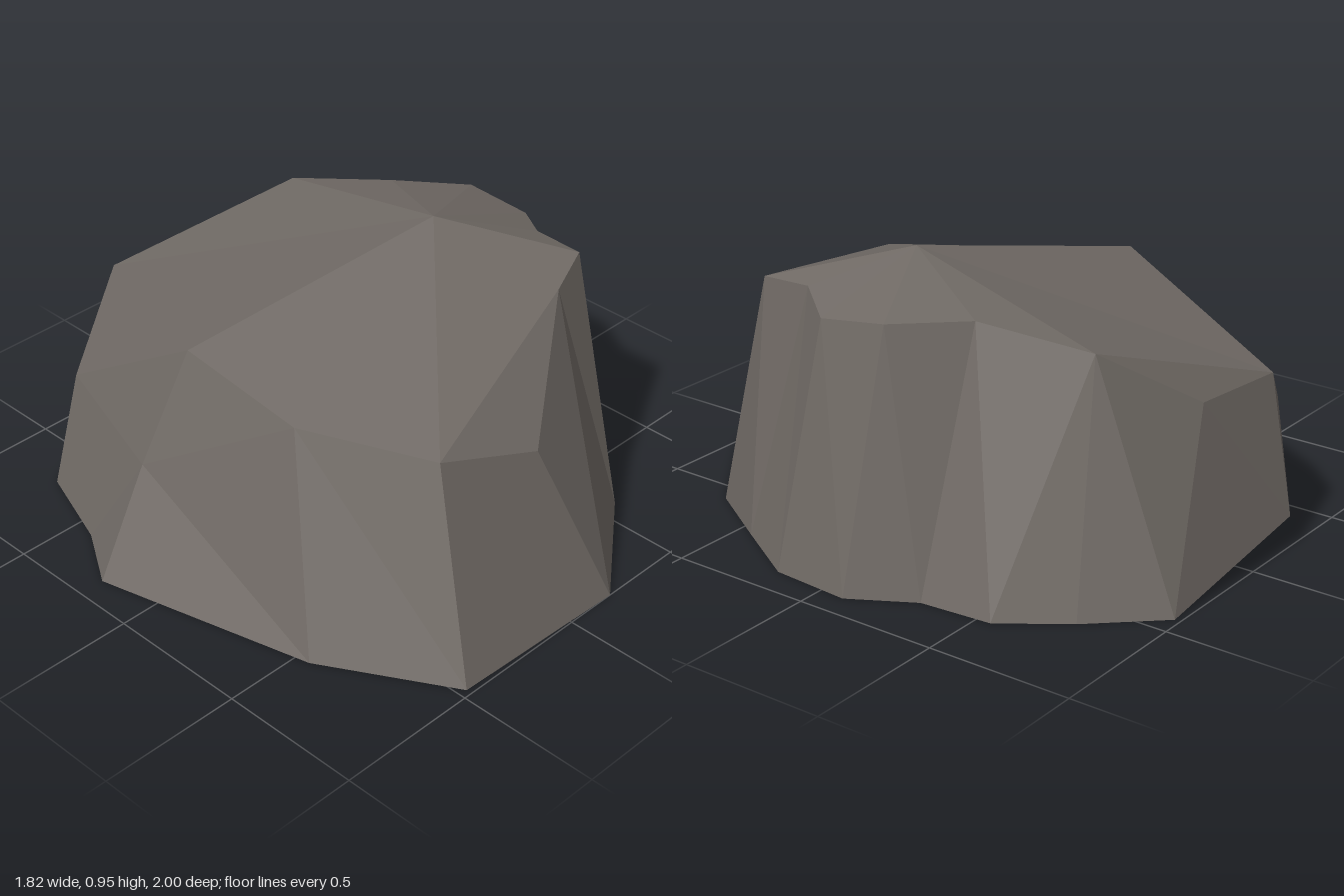
import * as THREE from 'three';

// Named corners of the boulder, [x, y, z]
const peak = [0.34, 0.955, 0.06];
const rim = {
  a: [-0.33, 0.65, 0.72], b: [0.46, 0.815, 0.5], c: [0.63, 0.855, 0.44],
  d: [0.63, 0.86, 0.26], e: [0.745, 0.82, 0.11], f: [0.725, 0.845, -0.12],
  g: [0.55, 0.85, -0.33], h: [0.41, 0.78, -0.67], i: [-0.21, 0.585, -0.92],
  j: [-0.555, 0.755, -0.15], k: [-0.53, 0.67, 0.3],
};
const shoulder = {
  front: [0.03, 0.55, 0.8], back: [0.1, 0.57, -0.86],
  backRight: [-0.53, 0.36, -0.76], right: [-0.715, 0.365, -0.21],
};
// Foot of the boulder, counterclockwise from above
const foot = [
  [-0.47, 0, 0.98], [0.19, 0, 1], [0.58, 0, 0.7], [0.74, 0, 0.44], [0.89, 0, 0.19],
  [0.91, 0, -0.09], [0.79, 0, -0.3], [0.77, 0, -0.55], [0.62, 0, -0.76], [0.42, 0, -0.98],
  [-0.22, 0.11, -1], [-0.67, 0, -0.73], [-0.78, 0, -0.42], [-0.91, 0, -0.21], [-0.72, 0, 0.55],
];

// Columns running down the sides: rim, shoulder, foot. Repeated corners merge into triangles.
function makeColumns() {
  const { a, b, c, d, e, f, g, h, i, j, k } = rim;
  const s = shoulder;
  return [
    [a, a, foot[0]], [a, s.front, foot[1]], [b, b, foot[1]], [b, b, foot[2]],
    [c, c, foot[2]], [d, d, foot[3]], [e, e, foot[4]], [f, f, foot[5]],
    [g, g, foot[6]], [h, h, foot[7]], [h, h, foot[8]], [h, h, foot[9]],
    [h, s.back, foot[9]], [i, i, foot[10]], [i, s.backRight, foot[10]],
    [j, s.backRight, foot[11]], [j, s.right, foot[12]], [j, s.right, foot[13]],
    [k, s.right, foot[13]], [k, k, foot[14]],
  ];
}

function boulderGeometry() {
  const positions = [];
  const triangle = (p, q, r) => {
    if (p !== q && q !== r && r !== p) positions.push(...p, ...q, ...r);
  };
  const columns = makeColumns();
  columns.forEach((col, n) => {
    const next = columns[(n + 1) % columns.length];
    // Cap facet up to the peak
    triangle(peak, col[0], next[0]);
    // Side facets, rim to shoulder to foot
    for (let row = 0; row < 2; row++) {
      triangle(col[row], col[row + 1], next[row + 1]);
      triangle(col[row], next[row + 1], next[row]);
    }
  });
  const geometry = new THREE.BufferGeometry();
  geometry.setAttribute('position', new THREE.Float32BufferAttribute(positions, 3));
  geometry.computeVertexNormals();
  return geometry;
}

export function createModel() {
  const group = new THREE.Group();
  group.name = 'rock';
  // Open underneath, so both sides show
  const stone = new THREE.MeshStandardMaterial({
    color: 0x6f6964, flatShading: true, side: THREE.DoubleSide,
  });
  stone.name = 'stone';
  const boulder = new THREE.Mesh(boulderGeometry(), stone);
  boulder.name = 'boulder';
  group.add(boulder);
  return group;
}
